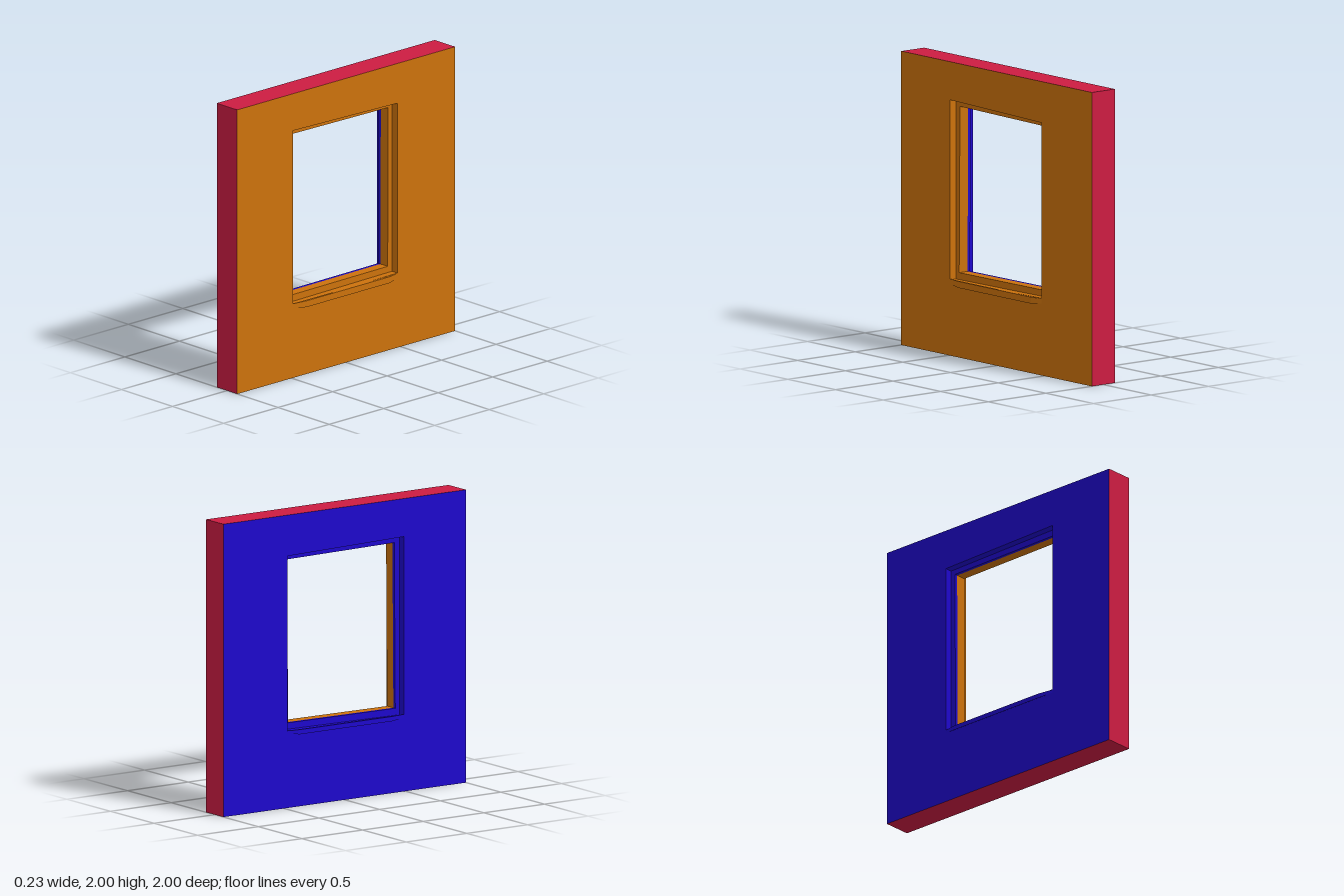
import * as THREE from 'three';

const ORANGE = 0xcc720c, BLUE = 0x1e08cc, RED = 0xcc1c42;

// Corner outlines as [z, y]: counter-clockwise seen from +x
const WALL = [[1, 0], [-1, 0], [-1, 2], [1, 2]];
const REBATE = [[0.49, 0.515], [-0.47, 0.525], [-0.47, 1.72], [0.49, 1.74]];
const OPENING = [[0.455, 0.563], [-0.43, 0.568], [-0.435, 1.685], [0.447, 1.695]];
const FACE = 0.1, LEDGE = 0.047, SPLIT = -0.025;

// Joins successive four-cornered outlines, each placed at its own x
function loft(name, color, sections, flip = false) {
  const pos = [];
  for (let s = 0; s < sections.length - 1; s++) {
    const [x0, from] = sections[s], [x1, to] = sections[s + 1];
    for (let i = 0; i < 4; i++) {
      const j = (i + 1) % 4;
      const point = (x, [z, y]) => [x, y, z];
      const a = point(x0, from[i]), b = point(x0, from[j]);
      const c = point(x1, to[j]), d = point(x1, to[i]);
      const corners = flip ? [a, c, b, a, d, c] : [a, b, c, a, c, d];
      pos.push(...corners.flat());
    }
  }
  const geo = new THREE.BufferGeometry();
  geo.setAttribute('position', new THREE.Float32BufferAttribute(pos, 3));
  geo.computeVertexNormals();
  const mesh = new THREE.Mesh(geo, new THREE.MeshStandardMaterial({ color, flatShading: true }));
  mesh.name = name;
  return mesh;
}

// Wall face, stepped rebate and its share of the window lining
function wallSide(name, color, side) {
  return loft(name, color, [
    [side * FACE, WALL], [side * FACE, REBATE], [side * LEDGE, REBATE],
    [side * LEDGE, OPENING], [SPLIT, OPENING],
  ], side < 0);
}

// Shallow sill with tapered ends, closed at its outer face
function sill(name, color, side, low, high) {
  const outline = (z0, z1, y0, y1) => [[z0, y0], [z1, y0], [z1, y1], [z0, y1]];
  const centre = Array(4).fill([0, (low + high) / 2]);
  return loft(name, color, [
    [side * FACE, outline(0.49, -0.47, low + 0.01, high)],
    [side * 0.117, outline(0.38, -0.38, low, high)],
    [side * 0.117, centre],
  ], side < 0);
}

export function createModel() {
  const group = new THREE.Group();
  group.name = 'windowWall';
  group.add(
    wallSide('leftWallFace', ORANGE, 1),
    wallSide('rightWallFace', BLUE, -1),
    loft('wallRim', RED, [[-FACE, WALL], [FACE, WALL]]),
    sill('leftSill', ORANGE, 1, 0.478, 0.522),
    sill('rightSill', BLUE, -1, 0.495, 0.527),
  );
  return group;
}
